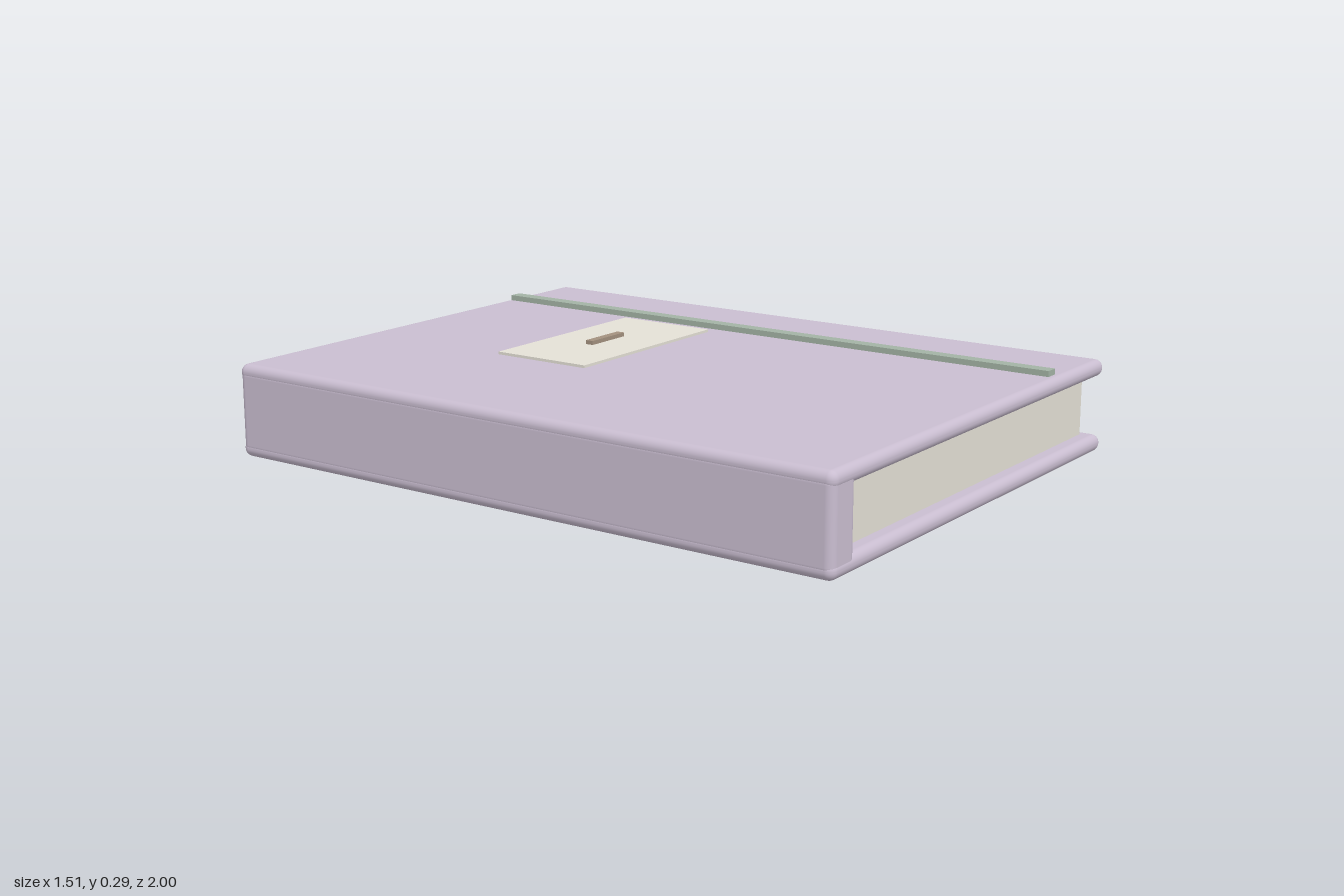
import * as THREE from 'three';
import { RoundedBoxGeometry } from 'three/addons/geometries/RoundedBoxGeometry.js';

const mat = (color) => new THREE.MeshStandardMaterial({ color });

export function createModel() {
  const group = new THREE.Group();
  const cloth = mat(0xc9bdd0);
  const paper = mat(0xe4e0d6);
  const elastic = mat(0xa3b3a5);
  const bronze = mat(0xa3917f);

  // Box given by its min and max corners; radius rounds the edges
  function block(name, material, [x0, y0, z0], [x1, y1, z1], radius = 0) {
    const size = [x1 - x0, y1 - y0, z1 - z0];
    const geometry = radius
      ? new RoundedBoxGeometry(...size, 5, radius)
      : new THREE.BoxGeometry(...size);
    const mesh = new THREE.Mesh(geometry, material);
    mesh.name = name;
    mesh.position.set((x0 + x1) / 2, (y0 + y1) / 2, (z0 + z1) / 2);
    group.add(mesh);
  }

  // Hard covers and spine
  block('backCover', cloth, [-0.755, 0, -1], [0.755, 0.05, 1], 0.024);
  block('frontCover', cloth, [-0.755, 0.225, -1], [0.755, 0.275, 1], 0.024);
  block('spine', cloth, [-0.755, 0.012, -0.998], [-0.645, 0.263, 0.998], 0.024);

  // Page block, with thin leaves standing proud at the back end
  block('pages', paper, [-0.7, 0.04, -0.925], [0.712, 0.235, 0.95]);
  for (const y of [0.09, 0.137, 0.184]) {
    block('pageLeaf', paper, [-0.67, y - 0.005, -0.942], [0.7, y + 0.005, -0.92]);
  }

  // Closing band, label and the small bar on the label
  block('elasticBand', elastic, [0.443, 0.272, -0.978], [0.484, 0.292, 0.97]);
  block('label', paper, [-0.222, 0.27, -0.473], [0.398, 0.283, -0.155]);
  block('labelBar', bronze, [0.01, 0.278, -0.329], [0.165, 0.295, -0.304]);

  return group;
}
